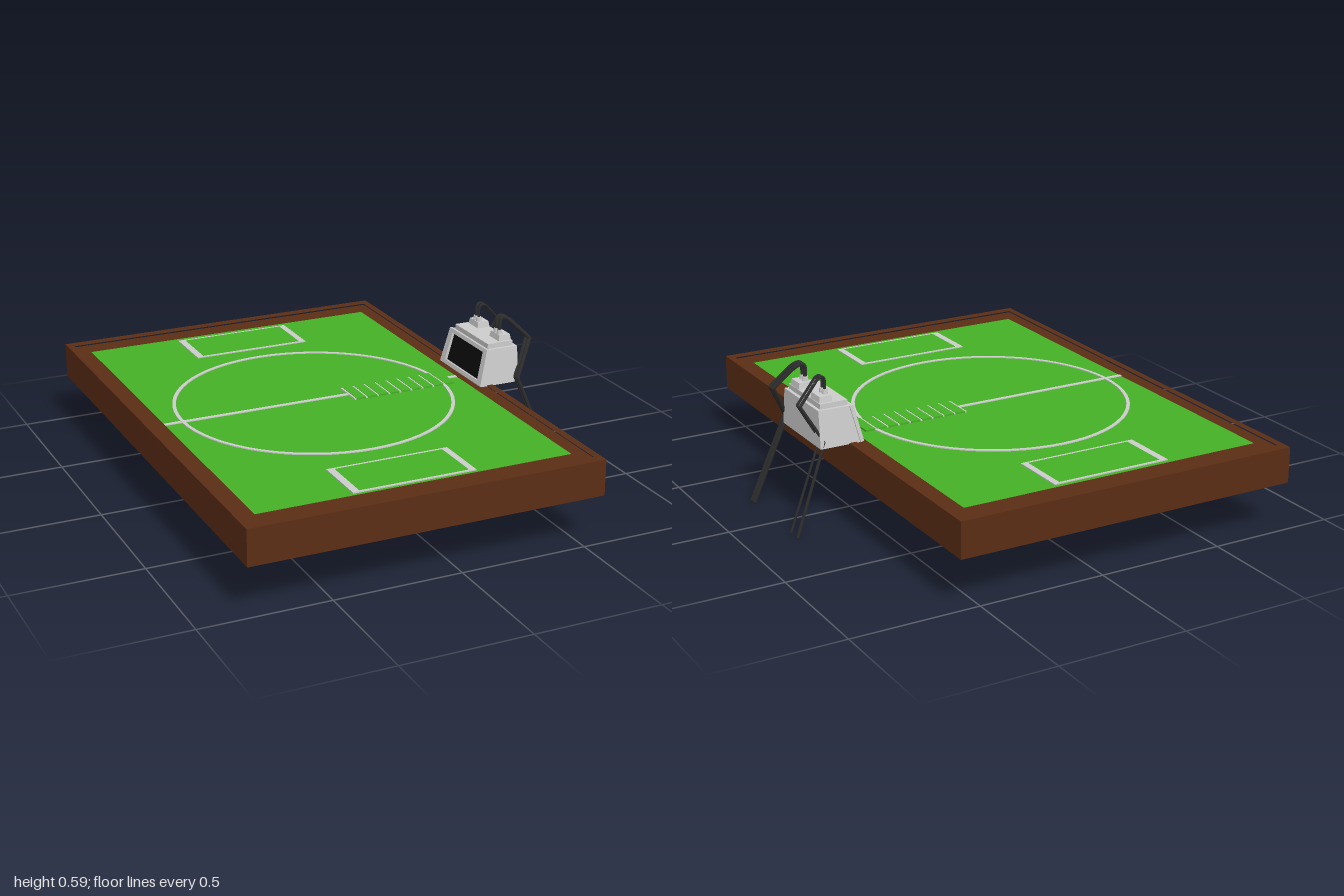
import * as THREE from 'three';

const mat = (color, side = THREE.FrontSide) =>
  new THREE.MeshStandardMaterial({ color, side, flatShading: true });
const grey = mat(0xcccccc), wood = mat(0x5a2d14), green = mat(0x45b025);
const dark = mat(0x2c2c2c), black = mat(0x0c0c0c);

function add(parent, name, geometry, material) {
  const mesh = new THREE.Mesh(geometry, material);
  mesh.name = name;
  parent.add(mesh);
  return mesh;
}

// Box given by its limits on each axis
function box(parent, name, material, [x0, x1], [y0, y1], [z0, z1]) {
  const g = new THREE.BoxGeometry(x1 - x0, y1 - y0, z1 - z0);
  g.translate((x0 + x1) / 2, (y0 + y1) / 2, (z0 + z1) / 2);
  return add(parent, name, g, material);
}

// Block whose top rectangle differs from its bottom rectangle
function taperedBlock(parent, name, material, [y0, y1], bottom, top) {
  const g = new THREE.BoxGeometry(1, 1, 1);
  const p = g.attributes.position;
  for (let i = 0; i < p.count; i++) {
    const up = p.getY(i) > 0, [x0, x1, hz] = up ? top : bottom;
    p.setXYZ(i, p.getX(i) > 0 ? x1 : x0, up ? y1 : y0, Math.sign(p.getZ(i)) * hz);
  }
  g.computeVertexNormals();
  return add(parent, name, g, material);
}

function rectPath(path, x0, x1, z0, z1) {
  path.moveTo(x0, -z0);
  path.lineTo(x1, -z0);
  path.lineTo(x1, -z1);
  path.lineTo(x0, -z1);
  path.closePath();
  return path;
}

// Flat rectangular ring lying in the xz plane
function ring(parent, name, material, outer, inner, y0, y1) {
  const shape = rectPath(new THREE.Shape(), ...outer);
  shape.holes.push(rectPath(new THREE.Path(), ...inner));
  const g = new THREE.ExtrudeGeometry(shape, { depth: y1 - y0, bevelEnabled: false });
  g.rotateX(-Math.PI / 2).translate(0, y0, 0);
  return add(parent, name, g, material);
}

function buildBoard() {
  const board = new THREE.Group();
  board.name = 'board';
  box(board, 'boardBase', wood, [-0.813, 0.575], [0.185, 0.3], [-1, 1]);
  ring(board, 'outerRim', wood, [-0.813, 0.575, -1, 1], [-0.785, 0.547, -0.96, 0.96], 0.3, 0.325);
  ring(board, 'innerRim', wood, [-0.785, 0.547, -0.96, 0.96], [-0.74, 0.503, -0.892, 0.892], 0.3, 0.32);
  box(board, 'pitch', green, [-0.74, 0.503], [0.3, 0.314], [-0.892, 0.892]);
  for (const [z0, z1] of [[0.645, 0.88], [-0.86, -0.63]])
    box(board, 'undersidePad', grey, [-0.36, 0.12], [0.155, 0.185], [z0, z1]);
  return board;
}

function buildMarkings() {
  const marks = new THREE.Group();
  marks.name = 'markings';
  const y0 = 0.314, y1 = 0.318;

  // Centre circle and halfway line
  const circle = new THREE.Shape().absarc(0, 0, 0.547, 0, Math.PI * 2);
  circle.holes.push(new THREE.Path().absarc(0, 0, 0.533, 0, Math.PI * 2, true));
  const g = new THREE.ExtrudeGeometry(circle, { depth: y1 - y0, bevelEnabled: false, curveSegments: 32 });
  g.rotateX(-Math.PI / 2).translate(-0.124, y0, 0);
  add(marks, 'centreCircle', g, grey);
  box(marks, 'halfwayLine', grey, [-0.74, 0.5], [y0, y1 - 0.0005], [-0.008, 0.008]);

  // Goal areas
  for (const [z0, z1] of [[-0.862, -0.633], [0.642, 0.867]])
    ring(marks, 'goalArea', grey, [-0.363, 0.12, z0, z1], [-0.335, 0.095, z0 + 0.01, z1 - 0.01], y0, y1);

  // Row of green slats with pale strips between them
  box(marks, 'slatStrips', grey, [0.021, 0.417], [y0, 0.3195], [-0.065, 0.065]);
  for (let i = 0; i < 9; i++) {
    const x = 0.029 + i * 0.0485;
    box(marks, 'slat', green, [x, x + 0.0405], [y0, 0.321], [-0.066, 0.066]);
  }
  return marks;
}

function buildMonitor() {
  const monitor = new THREE.Group();
  monitor.name = 'monitor';
  taperedBlock(monitor, 'casing', grey, [0.321, 0.465], [0.53, 0.692, 0.165], [0.565, 0.69, 0.148]);

  // Leaning bezel with a recessed screen
  const face = new THREE.Group();
  face.name = 'screenFace';
  face.position.set(0.53, 0.322, 0);
  face.rotation.z = -Math.atan2(0.035, 0.143);
  monitor.add(face);
  const outline = (path, y0, y1, w0, w1) => {
    path.moveTo(-w0, y0);
    path.lineTo(w0, y0);
    path.lineTo(w1, y1);
    path.lineTo(-w1, y1);
    path.closePath();
    return path;
  };
  const bezel = outline(new THREE.Shape(), 0, 0.147, 0.17, 0.154);
  bezel.holes.push(outline(new THREE.Path(), 0.017, 0.131, 0.135, 0.127));
  const g = new THREE.ExtrudeGeometry(bezel, { depth: 0.014, bevelEnabled: false });
  add(face, 'bezel', g.rotateY(-Math.PI / 2), grey);
  const screen = new THREE.ShapeGeometry(outline(new THREE.Shape(), 0.017, 0.131, 0.135, 0.127));
  add(face, 'screen', screen.rotateY(-Math.PI / 2).translate(-0.003, 0, 0), black);

  // Stepped top with a mount for each pair of arms
  box(monitor, 'topPlate', grey, [0.565, 0.677], [0.465, 0.485], [-0.135, 0.135]);
  for (const s of [-1, 1])
    taperedBlock(monitor, 'armMount', grey, [0.485, 0.508], [0.62, 0.675, 0.038], [0.624, 0.671, 0.034])
      .position.z = s * 0.087;
  return monitor;
}

// Jointed leg: arched hose, then straight rods to elbow, knee and foot
function buildLeg([zTop, zElbow, zKnee, zFoot], r) {
  const leg = new THREE.Group();
  leg.name = 'leg';
  const v = (x, y, z) => new THREE.Vector3(x, y, z);
  const collar = new THREE.CylinderGeometry(0.01, 0.012, 0.02, 10);
  add(leg, 'collar', collar, grey).position.set(0.636, 0.516, zTop);
  const path = new THREE.CurvePath();
  const bend = v(0.682, 0.556, zTop + (zElbow - zTop) * 0.35);
  path.add(new THREE.LineCurve3(v(0.636, 0.51, zTop), v(0.636, 0.552, zTop)));
  path.add(new THREE.CubicBezierCurve3(v(0.636, 0.552, zTop), v(0.636, 0.582, zTop),
    v(0.66, 0.58, zTop), bend));
  add(leg, 'hose', new THREE.TubeGeometry(path, 24, r, 8), dark);
  const joints = [bend, v(0.752, 0.485, zElbow), v(0.673, 0.345, zKnee), v(0.805, 0.004, zFoot)];
  for (let i = 0; i < 3; i++) {
    const rod = new THREE.LineCurve3(joints[i], joints[i + 1]);
    add(leg, 'rod', new THREE.TubeGeometry(rod, 1, r, 8), dark);
    add(leg, 'joint', new THREE.SphereGeometry(r, 8, 6), dark).position.copy(joints[i + 1]);
  }
  return leg;
}

export function createModel() {
  const model = new THREE.Group();
  model.name = 'tableGame';
  model.add(buildBoard(), buildMarkings(), buildMonitor());
  model.add(
    buildLeg([0.075, 0.112, 0.172, 0.205], 0.008),
    buildLeg([0.1, 0.137, 0.19, 0.228], 0.008),
    buildLeg([-0.07, -0.1, -0.115, -0.13], 0.005),
    buildLeg([-0.092, -0.125, -0.157, -0.187], 0.006)
  );
  return model;
}
